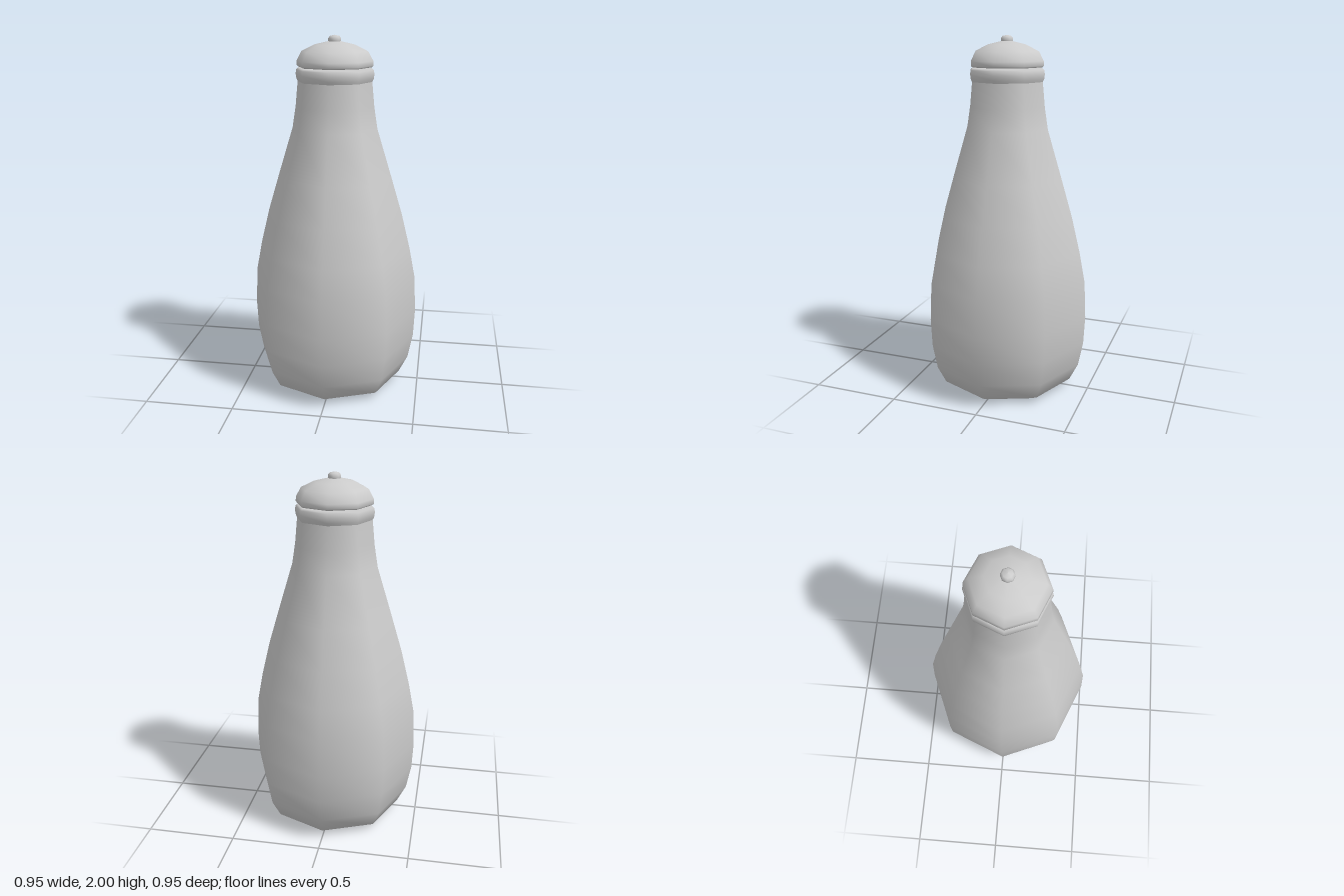
import * as THREE from 'three';

const SIDES = 8;

// Turn a [radius, height] profile, listed from bottom to top, into an eight-sided part.
function turned(name, profile, material) {
  const points = profile.map(([r, y]) => new THREE.Vector2(r, y));
  const mesh = new THREE.Mesh(new THREE.LatheGeometry(points, SIDES), material);
  mesh.name = name;
  return mesh;
}

export function createModel() {
  const group = new THREE.Group();
  group.name = 'liddedBottle';
  const material = new THREE.MeshStandardMaterial({ color: 0xcccccc });

  // Flat underside
  group.add(turned('base', [[0, 0], [0.32, 0]], material));

  // Full belly narrowing to the neck
  group.add(turned('body', [
    [0.32, 0], [0.39, 0.04], [0.44, 0.14], [0.467, 0.28], [0.475, 0.44],
    [0.465, 0.65], [0.432, 0.82], [0.383, 1.02], [0.32, 1.23],
    [0.237, 1.5], [0.218, 1.62], [0.205, 1.755],
  ], material));

  // Rolled rim around the mouth
  group.add(turned('rim', [
    [0.2, 1.745], [0.212, 1.77], [0.216, 1.795], [0.212, 1.818], [0.2, 1.828], [0, 1.828],
  ], material));

  // Domed lid with a thin groove below it
  group.add(turned('lid', [
    [0, 1.832], [0.2, 1.832], [0.211, 1.84], [0.209, 1.865], [0.182, 1.915],
    [0.11, 1.95], [0.035, 1.967], [0, 1.97],
  ], material));

  // Small rounded knob
  group.add(turned('knob', [
    [0.028, 1.95], [0.035, 1.965], [0.035, 1.983], [0.025, 1.995], [0, 2],
  ], material));

  return group;
}
